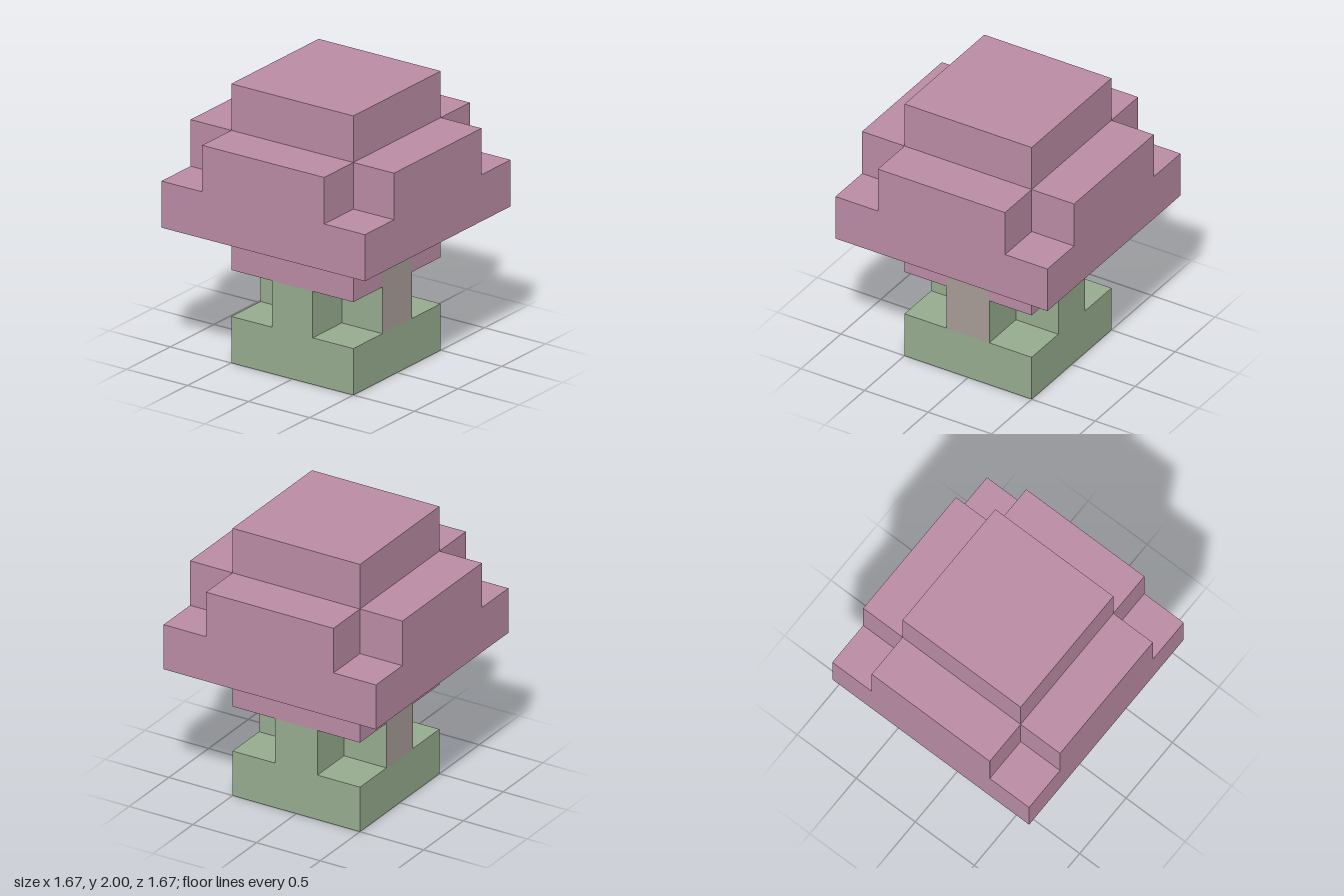
import * as THREE from 'three';

const U = 1 / 3; // one block

export function createModel() {
  const model = new THREE.Group();
  model.name = 'blockTree';

  const material = (name, color) => {
    const m = new THREE.MeshStandardMaterial({ color });
    m.name = name;
    return m;
  };
  const pink = material('pink', 0xbd8ea7);
  const green = material('green', 0x98ae90);
  const grey = material('warm grey', 0xa99e98);

  const add = (name, geometry, mat) => {
    const mesh = new THREE.Mesh(geometry, mat);
    mesh.name = name;
    model.add(mesh);
    return mesh;
  };

  // Square layer, width and levels counted in blocks
  const slab = (name, width, level, mat) => {
    const mesh = add(name, new THREE.BoxGeometry(width * U, U, width * U), mat);
    mesh.position.y = (level + 0.5) * U;
  };

  // Square layer with one block missing from each corner
  const cross = (name, width, level, mat) => {
    const o = (width / 2) * U;
    const i = o - U;
    const points = [
      [i, -o], [i, -i], [o, -i], [o, i], [i, i], [i, o],
      [-i, o], [-i, i], [-o, i], [-o, -i], [-i, -i], [-i, -o],
    ].map(([x, y]) => new THREE.Vector2(x, y));
    const geometry = new THREE.ExtrudeGeometry(new THREE.Shape(points), { depth: U, bevelEnabled: false });
    geometry.rotateX(-Math.PI / 2);
    add(name, geometry, mat).position.y = level * U;
  };

  // Base and trunk
  slab('base', 3, 0, green);
  cross('trunk', 3, 1, green);

  // Crown, from its neck to the top
  slab('crownNeck', 3, 2, pink);
  slab('crownBrim', 5, 3, pink);
  cross('crownMiddle', 5, 4, pink);
  slab('crownTop', 3, 5, pink);

  // Painted strips on the front and back of the trunk
  for (const side of [1, -1]) {
    const strip = add(side > 0 ? 'frontStrip' : 'backStrip', new THREE.PlaneGeometry(U, 2 * U), grey);
    strip.position.set(0, 2 * U, side * (1.5 * U + 0.002));
    if (side < 0) strip.rotation.y = Math.PI;
  }

  return model;
}
